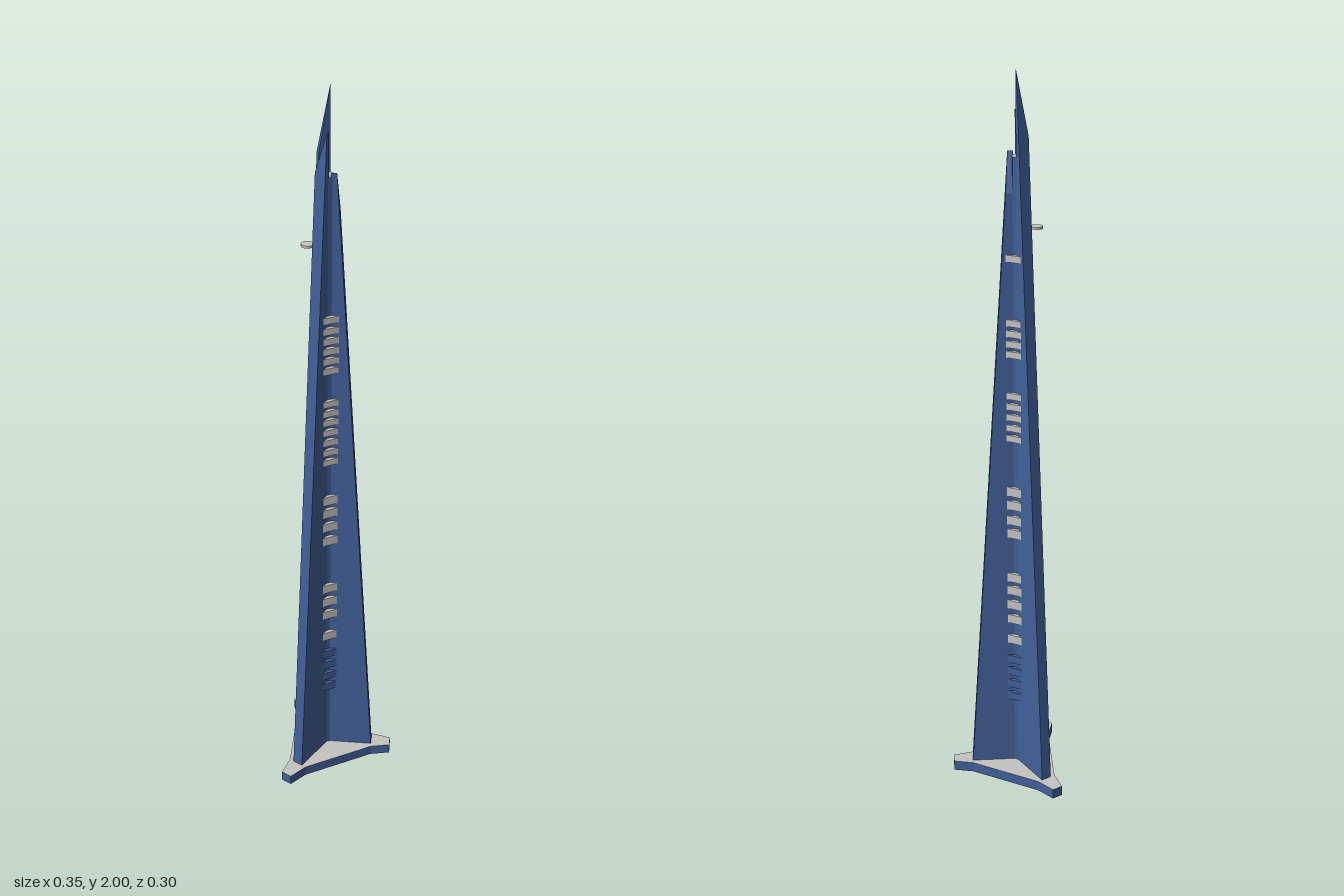
import * as THREE from 'three';

const CENTRE_Z = 0.04;
const THIRD = (Math.PI * 2) / 3;
const HALF = 0.015; // half thickness of a wing
const BASE_H = 0.03;

// Radius of a wing's outer edge at height y
const outerRadius = (y) => Math.max(0.014, 0.137 - 0.0626 * (y - BASE_H));

// Prism from plan points [x, z], rising from y0 by h
function prism(points, y0, h) {
  const shape = new THREE.Shape(points.map(([x, z]) => new THREE.Vector2(x, -z)));
  const geo = new THREE.ExtrudeGeometry(shape, { depth: h, bevelEnabled: false });
  geo.rotateX(-Math.PI / 2);
  geo.translate(0, y0, 0);
  return geo;
}

// Tapered wing pointing to -z, its top slanting across the thickness
function wingGeometry(topNegX, topPosX) {
  const geo = new THREE.BoxGeometry(1, 1, 1);
  const p = geo.attributes.position;
  for (let i = 0; i < p.count; i++) {
    const side = Math.sign(p.getX(i));
    const y = p.getY(i) < 0 ? BASE_H : side < 0 ? topNegX : topPosX;
    const r = p.getZ(i) < 0 ? outerRadius(y) : 0.012;
    p.setXYZ(i, side * HALF, y, -r);
  }
  geo.computeVertexNormals();
  return geo;
}

export function createModel() {
  const blue = new THREE.MeshStandardMaterial({ color: 0x416099 });
  blue.name = 'blueGlass';
  const grey = new THREE.MeshStandardMaterial({ color: 0xc4c4c2 });
  grey.name = 'lightGrey';

  const model = new THREE.Group();
  model.name = 'tower';
  const tower = new THREE.Group();
  tower.name = 'towerBody';
  tower.position.z = CENTRE_Z;
  model.add(tower);

  const add = (name, geo, mat, angle = 0) => {
    const mesh = new THREE.Mesh(geo, mat);
    mesh.name = name;
    mesh.rotation.y = angle;
    tower.add(mesh);
    return mesh;
  };

  // Turn a few plan points around the centre three times
  const threefold = (points) => [0, -1, -2].flatMap((k) => {
    const a = k * THIRD, c = Math.cos(a), s = Math.sin(a);
    return points.map(([x, z]) => [x * c + z * s, -x * s + z * c]);
  });

  // Three-pointed base slab: grey faces, blue rim
  const basePlan = threefold([[-0.028, -0.137], [-0.0155, -0.192], [0.0155, -0.192], [0.028, -0.137]]);
  add('base', prism(basePlan, 0, BASE_H), [grey, blue]);

  // Six-sided core with a grey roof
  const corePlan = threefold([[-HALF, -0.015], [HALF, -0.015]]);
  add('core', prism(corePlan, BASE_H, 1.76), [grey, blue]);

  // Three wings of different heights
  add('backWing', wingGeometry(1.84, 2.0), blue, 0);
  add('rightWing', wingGeometry(1.7, 1.8), blue, -THIRD);
  add('leftWing', wingGeometry(1.9, 1.8), blue, THIRD);

  // Balconies filling the valleys between wings: [height, size]
  const low = [0.25, 0.29, 0.33, 0.37];
  const valleys = [
    { name: 'front', angle: 0, at: [0.435, 0.51, 0.555, 0.6, 0.76, 0.805, 0.85, 0.89,
      1.01, 1.04, 1.07, 1.1, 1.13, 1.157, 1.185, 1.28, 1.308, 1.336, 1.364, 1.392, 1.422] },
    { name: 'right', angle: THIRD, at: [0.435, 0.5, 0.545, 0.59, 0.63, 0.765, 0.805, 0.85, 0.89,
      1.045, 1.075, 1.105, 1.135, 1.165, 1.28, 1.308, 1.336, 1.365, 1.535] },
    { name: 'left', angle: -THIRD, at: [0.435, 0.5, 0.545, 0.59, 0.625, 0.76, 0.795, 0.87, 0.91,
      0.99, 1.025, 1.06, 1.095, 1.13, 1.165, 1.28, 1.32, 1.36, 1.44, 1.485, 1.59] },
  ];
  const balconyPlan = [[-0.006, 0.02], [-0.021, 0.0305], [0.021, 0.0305], [0.006, 0.02]];
  for (const { name, angle, at } of valleys) {
    for (const y of at) {
      const h = y < 0.95 ? 0.026 : 0.018;
      add(name + 'Balcony', prism(balconyPlan, y - h / 2, h), grey, angle);
    }
    for (const y of low) add(name + 'LowBalcony', prism(balconyPlan, y - 0.012, 0.024), blue, angle);
  }

  // Round landing pad with a short neck to the tower
  const pad = add('landingPad', new THREE.CylinderGeometry(0.016, 0.016, 0.006, 24), grey);
  pad.position.set(-0.04, 1.61, -0.023);
  add('landingPadNeck', prism([[-0.034, -0.027], [-0.034, -0.015], [-0.012, -0.008], [-0.012, -0.02]],
    1.608, 0.004), grey);

  return model;
}
